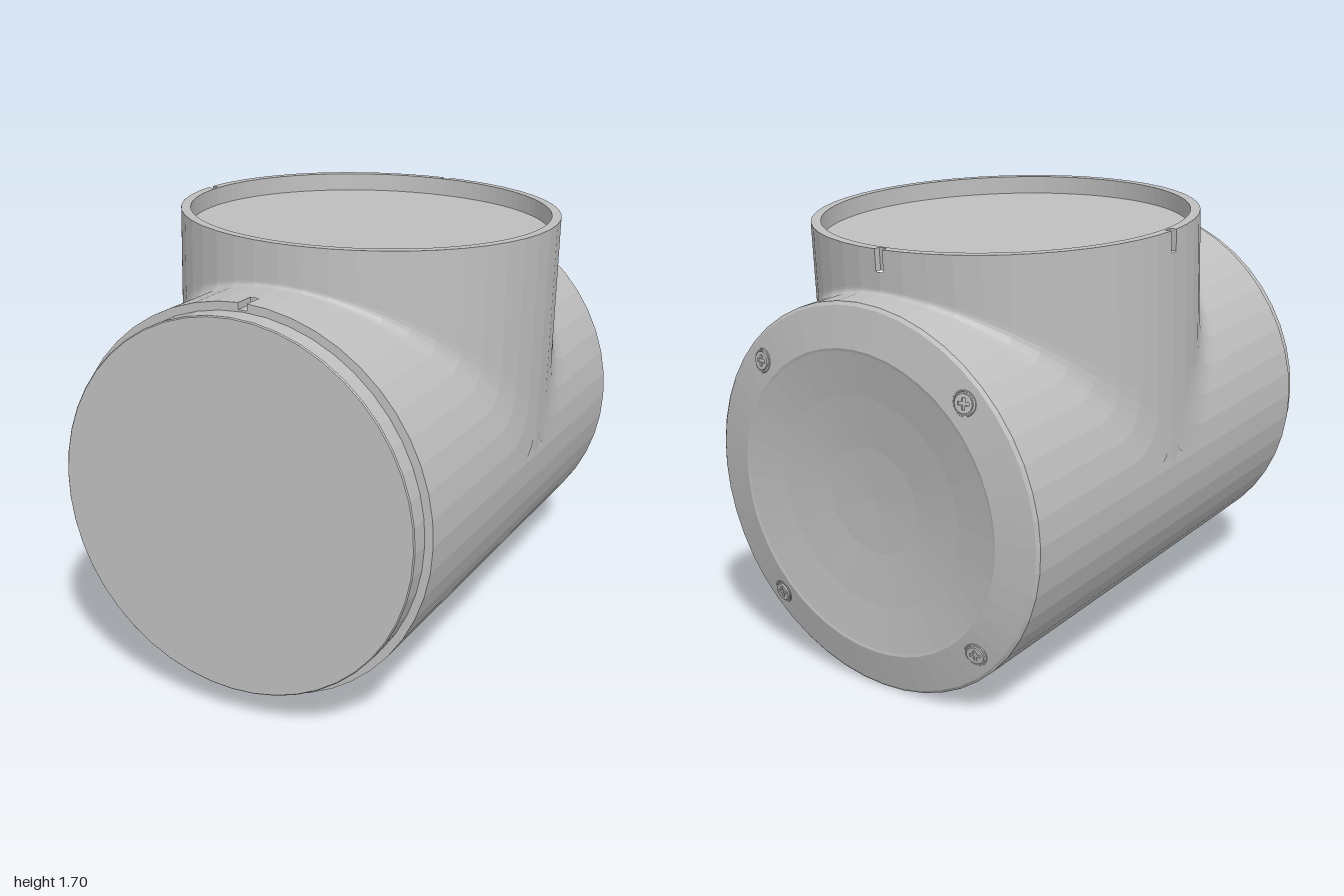
import * as THREE from 'three';

const R = 0.732;   // shared radius of the two crossing pipes
const SEG = 48;

const grey = new THREE.MeshStandardMaterial({ color: 0xbfbfbf, flatShading: true });
grey.name = 'castingGrey';

function add(parent, name, geometry) {
  const mesh = new THREE.Mesh(geometry, grey);
  mesh.name = name;
  parent.add(mesh);
  return mesh;
}

// Turned part about y, from [radius, height] pairs
function turned(points) {
  return new THREE.LatheGeometry(points.map(([r, y]) => new THREE.Vector2(r, y)), SEG);
}

// End collar with small slots cut into its edge at the given segment indices
function slottedCollar(slots, innerRadius, depth) {
  const half = 0.017, cut = 0.025, pts = [];
  for (let i = 0; i < SEG; i++) {
    const a = (i / SEG) * Math.PI * 2;
    const at = (u, v) => pts.push(new THREE.Vector2(
      u * Math.cos(a) - v * Math.sin(a), u * Math.sin(a) + v * Math.cos(a)));
    if (slots.includes(i)) {
      at(R, -half); at(R - cut, -half); at(R - cut, half); at(R, half);
    } else at(R, 0);
  }
  const shape = new THREE.Shape(pts);
  if (innerRadius) shape.holes.push(new THREE.Path().absarc(0, 0, innerRadius, 0, Math.PI * 2, true));
  return new THREE.ExtrudeGeometry(shape, { depth, bevelEnabled: false, curveSegments: SEG });
}

// Blend between pipes, widening towards the sides where they become tangent
function saddleBlend() {
  const nu = SEG / 2, nv = 6, pos = [], idx = [];
  for (let i = 0; i <= nu; i++) {
    const a = -Math.PI / 2 + (i / nu) * Math.PI;
    const c = R * Math.cos(a), w = 0.2 - 0.25 * c;
    for (let j = 0; j <= nv; j++) {
      const t = j / nv;
      pos.push(R * Math.sin(a), c + w * t * t, c + w * (1 - t) * (1 - t));
      if (i < nu && j < nv) {
        const p = i * (nv + 1) + j, q = p + nv + 1;
        idx.push(p, q, p + 1, q, q + 1, p + 1);
      }
    }
  }
  const g = new THREE.BufferGeometry();
  g.setAttribute('position', new THREE.Float32BufferAttribute(pos, 3));
  g.setIndex(idx);
  g.computeVertexNormals();
  return g;
}

// Cross-slotted screw head
function screwHead() {
  const shape = new THREE.Shape().absarc(0, 0, 0.034, 0, Math.PI * 2);
  const a = 0.006, b = 0.021;
  const cross = [[a, a], [a, b], [-a, b], [-a, a], [-b, a], [-b, -a],
    [-a, -a], [-a, -b], [a, -b], [a, -a], [b, -a], [b, a]];
  shape.holes.push(new THREE.Path(cross.map(([x, y]) => new THREE.Vector2(x, y))));
  return new THREE.ExtrudeGeometry(shape, { depth: 0.008, bevelEnabled: false, curveSegments: 10 });
}

export function createModel() {
  const root = new THREE.Group();
  root.name = 'pipeTee';
  const tee = new THREE.Group();
  tee.name = 'tiltedTee';
  tee.position.set(0, 0.776, -0.08);
  tee.rotation.set(-0.048, 0.036, 0);
  root.add(tee);

  // Main pipe: dished back cap, sloped cap ring, long wall
  add(tee, 'mainPipe', turned([[0, -0.835], [0.2, -0.842], [0.4, -0.863], [0.565, -0.889],
    [0.575, -0.892], [0.72, -0.862], [R, -0.852], [R, 0.885]])).rotation.x = Math.PI / 2;

  // Front collar and plug
  add(tee, 'frontCollar', slottedCollar([12, 36], 0, 0.08)).position.z = 0.885;
  add(tee, 'frontPlug', turned([[0.701, 0.95], [0.701, 1.041], [0.697, 1.045], [0, 1.045]]))
    .rotation.x = Math.PI / 2;

  // Upright outlet with a recessed closing disc
  add(tee, 'outletPipe', turned([[R, 0], [R, 0.81]]));
  const rim = add(tee, 'outletRim', slottedCollar([12, 24], 0.695, 0.08));
  rim.rotation.x = -Math.PI / 2;
  rim.position.y = 0.81;
  const disc = add(tee, 'outletDisc', new THREE.CircleGeometry(0.7, SEG));
  disc.rotation.x = -Math.PI / 2;
  disc.position.y = 0.82;

  // Front and back blends
  const blend = saddleBlend();
  add(tee, 'frontBlend', blend);
  add(tee, 'backBlend', blend).rotation.y = Math.PI;

  // Four cap screws on the sloped ring
  const head = screwHead();
  const washer = new THREE.TorusGeometry(0.042, 0.004, 6, 20);
  for (let i = 0; i < 4; i++) {
    const a = Math.PI / 4 + (i * Math.PI) / 2;
    const normal = new THREE.Vector3(Math.cos(a) * 0.21, Math.sin(a) * 0.21, -1).normalize();
    const screw = new THREE.Group();
    screw.name = 'capScrew';
    screw.position.set(0.65 * Math.cos(a), 0.65 * Math.sin(a), -0.875);
    screw.quaternion.setFromUnitVectors(new THREE.Vector3(0, 0, 1), normal);
    add(screw, 'screwHead', head);
    add(screw, 'screwSeat', washer);
    tee.add(screw);
  }
  return root;
}
